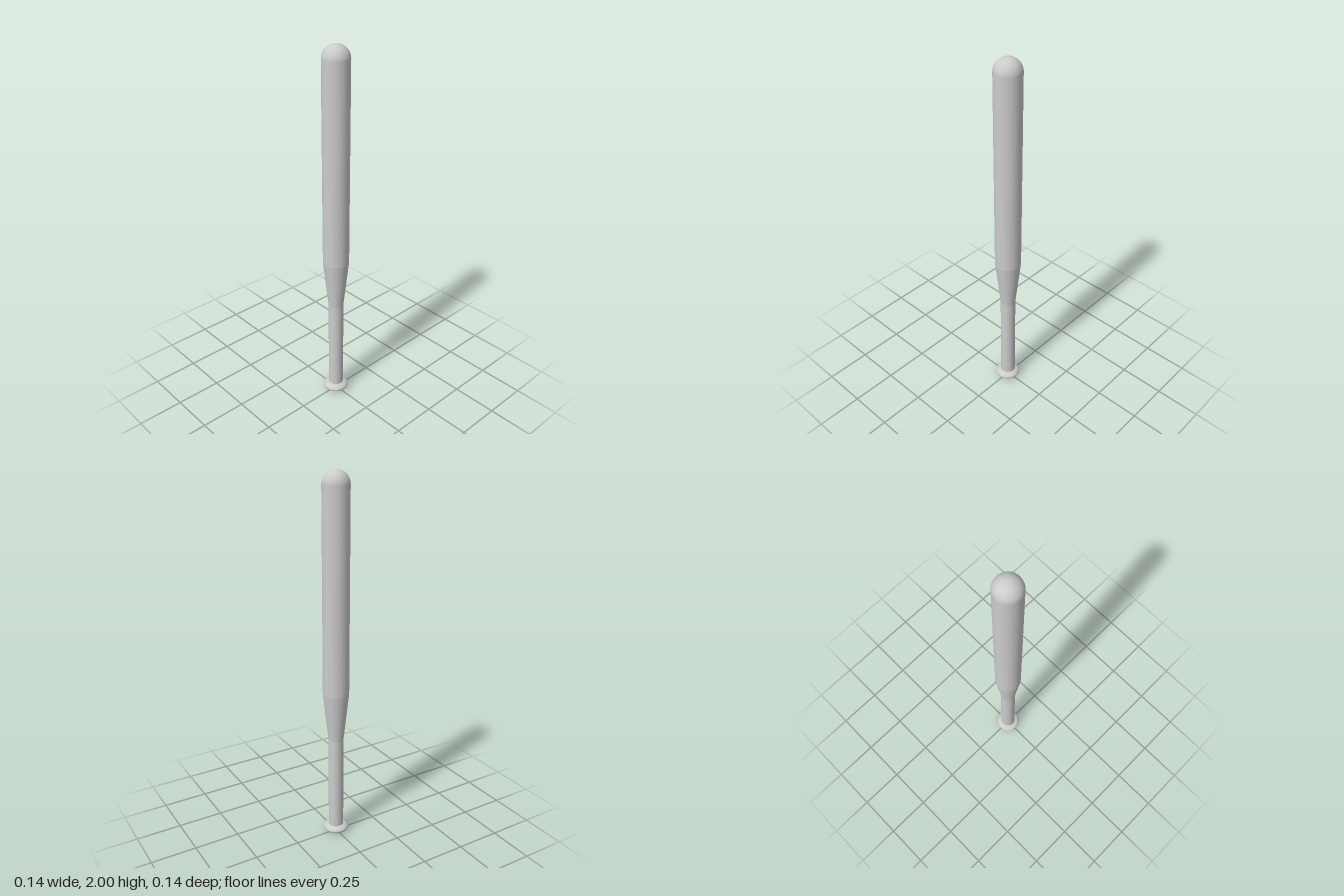
import * as THREE from 'three';

const SEGMENTS = 48;
const BARREL = 0.07, GRIP = 0.041;

export function createModel() {
  const bat = new THREE.Group();
  bat.name = 'bat';
  const material = new THREE.MeshStandardMaterial({ color: 0xcccccc });

  const add = (name, geometry, y, x = 0, z = 0) => {
    const mesh = new THREE.Mesh(geometry, material);
    mesh.name = name;
    mesh.position.set(x, y, z);
    bat.add(mesh);
    return mesh;
  };

  // Open round section between two heights
  const section = (name, rBottom, rTop, y0, y1) =>
    add(name, new THREE.CylinderGeometry(rTop, rBottom, y1 - y0, SEGMENTS, 1, true), (y0 + y1) / 2);

  // Flattened, very slightly off-centre knob at the foot of the handle
  const knob = add('knob', new THREE.SphereGeometry(0.069, SEGMENTS, 24), 0.027, -0.001, 0.001);
  knob.scale.y = 0.027 / 0.069;

  // Straight handle, widening taper and straight barrel
  section('handle', GRIP, GRIP, 0.03, 0.58);
  section('taper', GRIP, BARREL, 0.58, 0.85);
  section('barrel', BARREL, BARREL, 0.85, 1.93);

  // Hemispherical end
  add('barrelEnd', new THREE.SphereGeometry(BARREL, SEGMENTS, 16, 0, Math.PI * 2, 0, Math.PI / 2), 1.93);

  return bat;
}
